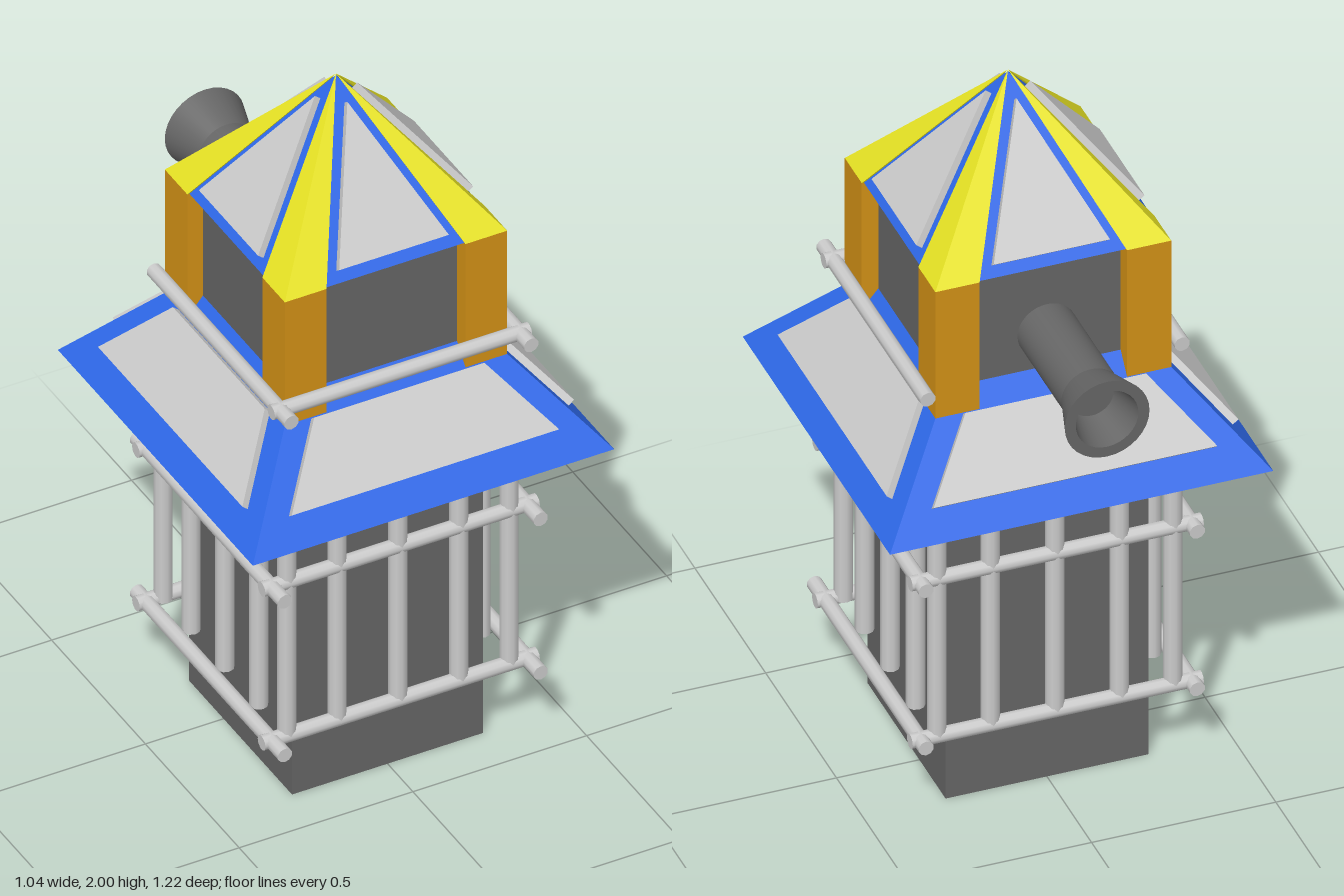
import * as THREE from 'three';
import { toCreasedNormals } from 'three/addons/utils/BufferGeometryUtils.js';
import { ConvexGeometry } from 'three/addons/geometries/ConvexGeometry.js';

const mat = (color, flatShading = true) => new THREE.MeshStandardMaterial({ color, flatShading });

export function createModel() {
  const light = mat(0xcccccc), lightSmooth = mat(0xcccccc, false);
  const dark = mat(0x666666), darkSmooth = mat(0x666666, false);
  const blue = mat(0x2e68e8), orange = mat(0xd49216), yellow = mat(0xe8e424);

  const model = new THREE.Group();
  const tower = new THREE.Group();
  tower.name = 'tower';
  tower.position.z = 0.09;
  model.add(tower);

  const add = (name, geometry, material, x = 0, y = 0, z = 0, parent = tower) => {
    const mesh = new THREE.Mesh(geometry, material);
    mesh.name = name;
    mesh.position.set(x, y, z);
    parent.add(mesh);
    return mesh;
  };
  const box = (name, w, y0, y1, material, x = 0, z = 0) =>
    add(name, new THREE.BoxGeometry(w, y1 - y0, w), material, x, (y0 + y1) / 2, z);
  // Square frustum given by half widths
  const frustum = (name, r0, r1, y0, y1, material, open) => {
    const g = new THREE.CylinderGeometry(r1 * Math.SQRT2, r0 * Math.SQRT2, y1 - y0, 4, 1, open);
    add(name, g.rotateY(Math.PI / 4), material, 0, (y0 + y1) / 2, 0);
  };
  // Raised slab on a slope, from half width w0 at (r0, y0) to w1 at (r1, y1)
  const slab = (name, w0, r0, y0, w1, r1, y1, parent) => {
    const length = Math.hypot(r0 - r1, y1 - y0);
    const shape = new THREE.Shape();
    shape.moveTo(-w0, 0).lineTo(w0, 0);
    if (w1 > 0) shape.lineTo(w1, length).lineTo(-w1, length);
    else shape.lineTo(0, length);
    shape.closePath();
    const g = new THREE.ExtrudeGeometry(shape, { depth: 0.024, bevelEnabled: false });
    g.translate(0, 0, -0.004);
    add(name, g, light, 0, y0, r0, parent).rotation.x = -Math.atan2(r0 - r1, y1 - y0);
  };

  // Core, skirt roof and its underside
  box('core', 0.55, 0, 1.62, dark);
  frustum('skirtRoof', 0.52, 0.275, 0.97, 1.265, blue, true);
  box('skirtUnderside', 1.03, 0.97, 0.976, dark);

  // Pointed roof with blue body
  frustum('roof', 0.314, 0.001, 1.6, 1.993, blue, false);

  // Corner posts and roof ridges
  const apex = new THREE.Vector3(0, 2, 0);
  for (const sx of [-1, 1]) for (const sz of [-1, 1]) {
    box('cornerPost', 0.12, 0.966, 1.6, orange, sx * 0.26, sz * 0.26);
    const corner = [[0.2, 0.32], [0.32, 0.32], [0.32, 0.2], [0.2, 0.2]]
      .map(([x, z]) => new THREE.Vector3(sx * x, 1.6, sz * z));
    add('roofRidge', new ConvexGeometry([...corner, apex]), yellow);
  }

  // Panels on the four sides of both roofs
  for (let i = 0; i < 4; i++) {
    const side = new THREE.Group();
    side.name = 'roofPanels';
    side.rotation.y = i * Math.PI / 2;
    tower.add(side);
    slab('skirtPanel', 0.385, 0.462, 1.04, 0.245, 0.322, 1.208, side);
    slab('roofPanel', 0.158, 0.294, 1.625, 0, 0.045, 1.938, side);
  }

  // Cage of upright bars, five to a side
  const bar = (length, r) => new THREE.CylinderGeometry(r, r, length, 10);
  const spots = [-0.32, -0.175, 0, 0.175, 0.32];
  for (const x of spots) for (const z of spots) {
    if (Math.abs(x) < 0.3 && Math.abs(z) < 0.3) continue;
    add('cageBar', bar(0.74, 0.025), lightSmooth, x, 0.61, z * 1.03);
  }

  // Rails around the cage
  const railX = (name, length, y, z) =>
    add(name, bar(length, 0.021), lightSmooth, 0, y, z).rotation.z = Math.PI / 2;
  const railZ = (name, length, x, y, z) =>
    add(name, bar(length, 0.021), lightSmooth, x, y, z).rotation.x = Math.PI / 2;
  for (const y of [0.245, 0.73]) for (const s of [-1, 1]) {
    railX('cageRail', 0.79, y, s * 0.335);
    railZ('cageRail', 0.79, s * 0.368, y, 0.015);
  }
  // Upper rails on three sides
  railX('upperRail', 0.74, 1.283, 0.34);
  for (const s of [-1, 1]) railZ('upperRail', 0.735, s * 0.345, 1.283, 0.035);

  // Hollow barrel with flared mouth, pointing backwards
  const profile = [[0.08, 0.15], [0.08, 0.495], [0.115, 0.61], [0.085, 0.61], [0.06, 0.5], [0, 0.5]]
    .map(([r, d]) => new THREE.Vector2(r, d));
  const barrel = toCreasedNormals(new THREE.LatheGeometry(profile, 32), 0.25);
  add('barrel', barrel.rotateX(-Math.PI / 2), darkSmooth, 0, 1.375, 0, model);

  return model;
}
